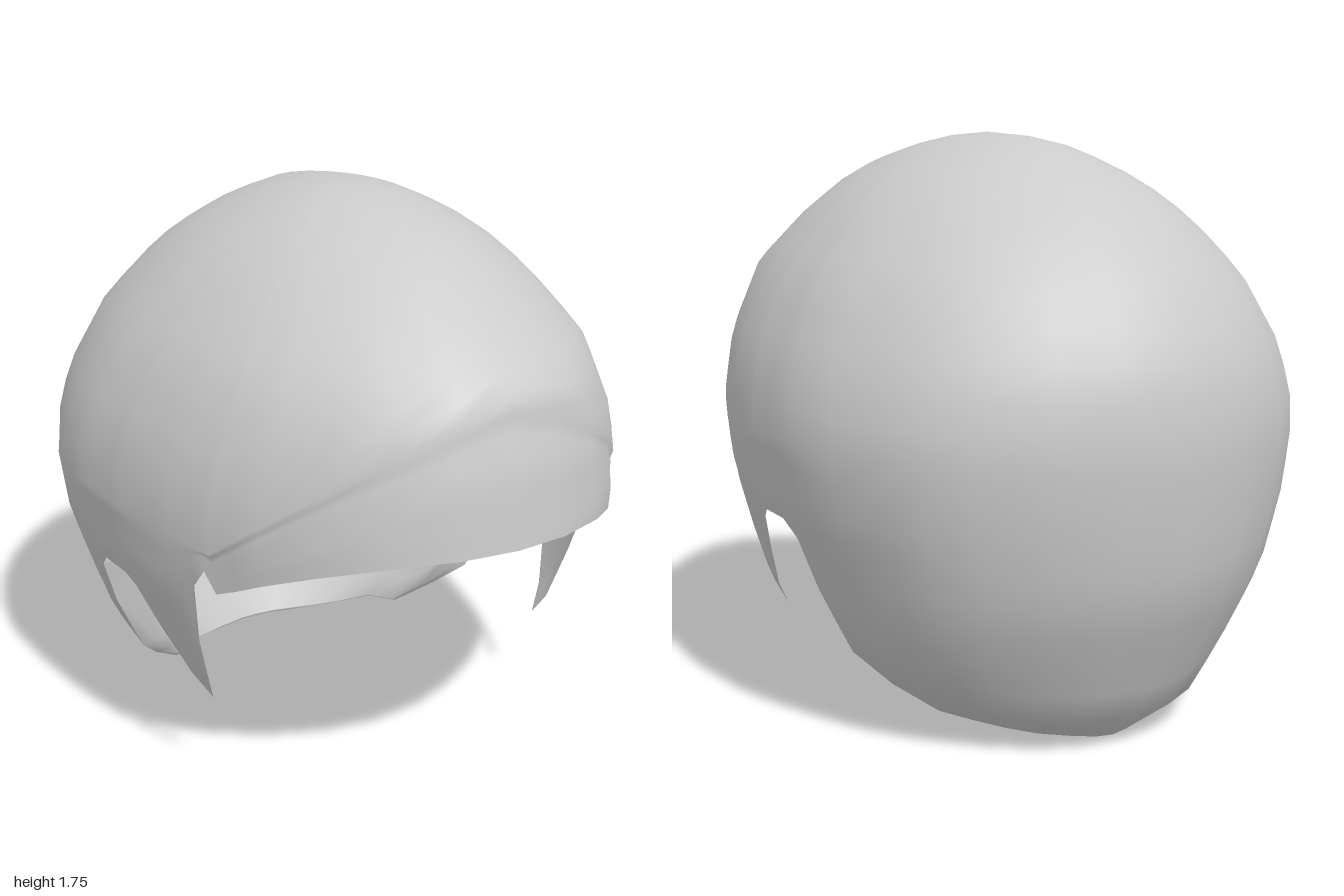
import * as THREE from 'three';

// Horizontal cross-sections: [y, front z, back z, half width, z of widest point]
const SECTIONS = [
  [0, 0.6, -0.65, 0.2, -0.25], [0.03, 0.68, -0.71, 0.33, -0.25],
  [0.1, 0.8, -0.77, 0.49, -0.25], [0.25, 0.95, -0.84, 0.62, -0.2],
  [0.38, 1, -0.9, 0.69, -0.2], [0.5, 1, -0.95, 0.73, -0.2],
  [0.7, 1, -0.98, 0.795, -0.2], [0.93, 1, -1, 0.825, -0.2],
  [1.13, 0.98, -0.97, 0.78, -0.16], [1.34, 0.92, -0.86, 0.67, -0.12],
  [1.5, 0.72, -0.71, 0.53, -0.08], [1.6, 0.57, -0.57, 0.41, -0.04],
  [1.66, 0.45, -0.45, 0.31, -0.02], [1.71, 0.28, -0.32, 0.2, 0],
  [1.74, 0.12, -0.15, 0.1, 0], [1.75, 0, 0, 0, 0],
];

// Lower edge: [degrees from the front, y] - fringe, pointed side lock, ear notch, nape
const HEM = [
  [0, 0.93], [12, 0.925], [25, 0.905], [37, 0.86], [47, 0.8], [52, 0.76], [56, 0.73],
  [57.5, 0.8], [60, 0.74], [63, 0.53], [65, 0.35], [66.5, 0.28], [69, 0.36], [73, 0.5],
  [76, 0.62], [78, 0.65], [84, 0.65], [87, 0.6], [88.5, 0.45], [90, 0.25], [96, 0.16],
  [104, 0.08], [116, 0.07], [125, 0.045], [135, 0.025], [150, 0.01], [165, 0.003], [180, 0],
];

// Crease that separates the fringe from the crown
const CREASE = [[0, 1.34], [12, 1.29], [25, 1.2], [40, 1.07], [56, 0.86], [66, 0.88], [90, 0.9], [180, 0.85]];

function sample(table, v, column) {
  let i = 1;
  while (i < table.length - 1 && table[i][0] < v) i++;
  const a = table[i - 1], b = table[i];
  const t = THREE.MathUtils.clamp((v - a[0]) / (b[0] - a[0]), 0, 1);
  return THREE.MathUtils.lerp(a[column], b[column], t);
}

// Point on the hair at a height and angle, shrunk toward the section centre
function surfacePoint(y, degrees, scale = 1) {
  const [front, back, width, centre] = [1, 2, 3, 4].map((c) => sample(SECTIONS, y, c));
  const a = THREE.MathUtils.degToRad(degrees);
  const depth = Math.cos(a) > 0 ? front - centre : centre - back;
  return [width * scale * Math.sin(a), y, centre + depth * scale * Math.cos(a)];
}

// Skin a grid of columns, each a list of points from top to bottom
function skin(name, columns, closed, material) {
  const rows = columns[0].length, n = columns.length, index = [];
  for (let c = 0; c < (closed ? n : n - 1); c++) {
    const d = (c + 1) % n;
    for (let r = 0; r < rows - 1; r++) {
      const p = c * rows + r, q = d * rows + r;
      if (!(closed && r === 0)) index.push(p, p + 1, q);
      else index.push(p, p + 1, q + 1);
      if (!(closed && r === 0)) index.push(q, p + 1, q + 1);
    }
  }
  const geometry = new THREE.BufferGeometry();
  geometry.setAttribute('position', new THREE.Float32BufferAttribute(columns.flat(2), 3));
  geometry.setIndex(index);
  geometry.computeVertexNormals();
  // The crown column tops share one upward normal
  if (closed) for (let c = 0; c < n; c++) geometry.attributes.normal.setXYZ(c * rows, 0, 1, 0);
  const mesh = new THREE.Mesh(geometry, material);
  mesh.name = name;
  return mesh;
}

export function createModel() {
  const group = new THREE.Group();
  group.name = 'hair';
  const material = new THREE.MeshStandardMaterial({ color: 0xcccccc, side: THREE.DoubleSide });

  // Column angles all the way round, mirrored left to right
  const half = HEM.map((h) => h[0]);
  const angles = [...half, ...half.slice(1, -1).reverse().map((a) => 360 - a)];
  const fold = (a) => (a > 180 ? 360 - a : a);

  // Crown, fringe, side locks and back in one sheet
  const upper = 14, lower = 9;
  const shell = angles.map((a) => {
    const crease = sample(CREASE, fold(a), 1), hem = sample(HEM, fold(a), 1);
    const column = [];
    for (let i = 0; i <= upper; i++) {
      column.push(surfacePoint(1.75 - (1.75 - crease) * Math.pow(i / upper, 1.6), a));
    }
    for (let i = 1; i <= lower; i++) {
      const y = THREE.MathUtils.lerp(crease, hem, i / lower);
      column.push(surfacePoint(y, a, fold(a) < 57 ? 0.988 : 1));
    }
    return column;
  });
  group.add(skin('hairShell', shell, true, material));

  // Rolled-in edge and lining behind the neck
  const roll = [[0, 1], [0.015, 0.9], [0.1, 0.86], [0.25, 0.88], [0.45, 0.92], [0.7, 0.97]];
  const lining = angles.filter((a) => fold(a) >= 87).map((a) => {
    const hem = sample(HEM, fold(a), 1);
    return roll.map(([t, s]) => surfacePoint(hem + t * (0.95 - hem), a, s));
  });
  group.add(skin('napeLining', lining, false, material));

  return group;
}
